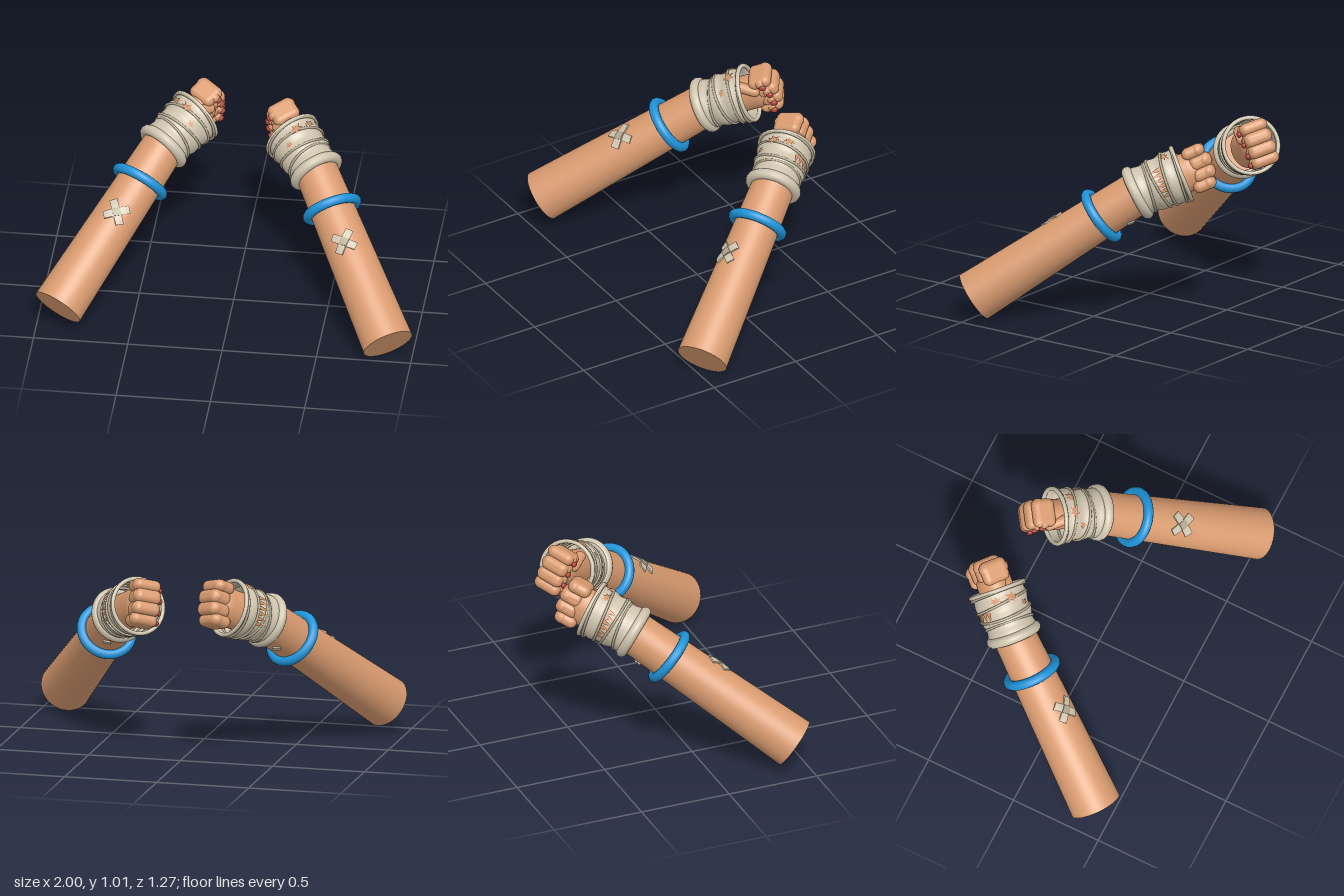
import * as THREE from 'three';
import { RoundedBoxGeometry } from 'three/addons/geometries/RoundedBoxGeometry.js';

const material = (name, color, side = THREE.FrontSide) => {
  const m = new THREE.MeshStandardMaterial({ color, side });
  m.name = name;
  return m;
};

const V = (x, y, z) => new THREE.Vector3(x, y, z);

// Matrix with local y along the limb and local z towards the hint
function frame(origin, yDir, zHint) {
  const y = yDir.clone().normalize();
  const x = y.clone().cross(zHint).normalize();
  const z = x.clone().cross(y);
  return new THREE.Matrix4().makeBasis(x, y, z).setPosition(origin);
}

// Wrap a flat piece (x sideways, y along, z outwards) round the limb at an angle
function bend(geo, radius, angle) {
  const p = geo.attributes.position;
  for (let i = 0; i < p.count; i++) {
    const r = radius(p.getY(i));
    const a = angle + p.getX(i) / r;
    const out = r + p.getZ(i);
    p.setXYZ(i, Math.sin(a) * out, p.getY(i), Math.cos(a) * out);
  }
  geo.computeVertexNormals();
  return geo;
}

const ring = (radius, tube, y, tiltX = 0, tiltZ = 0) =>
  new THREE.TorusGeometry(radius, tube, 12, 48)
    .rotateX(Math.PI / 2).rotateX(tiltX).rotateZ(tiltZ).translate(0, y, 0);

function mirrored(source) {
  const geo = source.clone().scale(-1, 1, 1);
  const n = geo.attributes.position.count;
  const index = geo.index ? Array.from(geo.index.array) : Array.from({ length: n }, (_, i) => i);
  for (let i = 0; i < index.length; i += 3) [index[i], index[i + 1]] = [index[i + 1], index[i]];
  geo.setIndex(index);
  return geo;
}

export function createModel() {
  const skin = material('skin', 0xd99b70);
  const tearSkin = material('torn skin', 0xd09066, THREE.DoubleSide);
  const cloth = material('bandage cloth', 0xcfc4ae, THREE.DoubleSide);
  const trim = material('bandage edge', 0xb0a58d);
  const blue = material('bracelet blue', 0x1f93d8);
  const red = material('nail red', 0xb5443a);

  const left = new THREE.Group();
  left.name = 'leftArm';
  let place;
  const add = (name, geo, mat) => {
    const mesh = new THREE.Mesh(geo.applyMatrix4(place), mat);
    mesh.name = name;
    left.add(mesh);
  };

  // Forearm, tapering to the wrist
  const base = V(0.88, 0.115, 0.502);
  const armDir = V(-0.45, 0.56, -0.69).normalize();
  place = frame(base, armDir, V(-0.1, 0.74, 0.66));
  const armR = (t) => 0.137 - 0.022 * t;
  add('forearm', new THREE.CylinderGeometry(armR(1.06), armR(0), 1.06, 48).translate(0, 0.53, 0), skin);
  add('bracelet', ring(0.136, 0.026, 0.81, 0.03, -0.04), blue);

  // Crossed plaster on the forearm
  for (const s of [-1, 1]) {
    const strip = new THREE.BoxGeometry(0.14, 0.042, 0.009, 10, 2, 1)
      .rotateZ(s * Math.PI / 4).translate(0, 0.575, 0.004 + s * 0.001);
    add('plasterStrip', bend(strip, armR, 0), cloth);
  }
  add('plasterPad', bend(new THREE.BoxGeometry(0.042, 0.042, 0.009, 4, 2, 1)
    .rotateZ(Math.PI / 4).translate(0, 0.575, 0.009), armR, 0), trim);
  add('looseTag', bend(new THREE.BoxGeometry(0.04, 0.022, 0.009, 4, 1, 1)
    .rotateZ(0.4).translate(0, 0.93, 0.004), armR, Math.PI), cloth);

  // Hand frame: x towards the palm side, y to the knuckles, z down
  place = frame(base.clone().addScaledVector(armDir, 1.04), V(-0.6, 0.39, -0.69), V(-0.04, -0.87, -0.46));
  const wrapR = (y) => 0.127 + 0.07 * y + 0.004 * Math.sin(y * 75);
  const profile = [new THREE.Vector2(0.105, -0.02)];
  for (let i = 0; i <= 24; i++) profile.push(new THREE.Vector2(wrapR(i * 0.0105), i * 0.0105));
  add('bandageWrap', new THREE.LatheGeometry(profile, 48), cloth);
  add('bandageCuff', ring(0.122, 0.029, 0.0, -0.06, 0.05), cloth);
  const bands = [[0.065, 0.12, -0.06], [0.12, -0.1, 0.08], [0.18, 0.08, 0.1]];
  for (const [y, tx, tz] of bands) add('bandageFold', ring(wrapR(y) + 0.001, 0.007, y, tx, tz), trim);
  add('bandageRim', ring(0.147, 0.011, 0.252, 0.03, -0.03), cloth);
  add('bandageRimEdge', ring(0.15, 0.007, 0.236, 0.1, -0.03), trim);

  // Torn openings: a row of teeth on the outer side and a ragged patch on top
  const flat = (points) => new THREE.ShapeGeometry(new THREE.Shape(points.map(([x, y]) => new THREE.Vector2(x, y))));
  for (let i = 0; i < 6; i++) {
    const x = (i - 2.5) * 0.028;
    const tip = 0.1 - 0.012 * (i % 2);
    const tooth = flat([[x - 0.013, 0.16], [x, tip], [x + 0.013, 0.16]]).translate(0, 0, 0.006);
    add('tornTooth', bend(tooth, wrapR, -Math.PI / 2), tearSkin);
  }
  for (const [angle, y, size] of [[Math.PI, 0.2, 1], [Math.PI + 0.6, 0.205, 0.8], [Math.PI - 0.55, 0.15, 0.6]]) {
    const points = [];
    for (let i = 0; i < 14; i++) {
      const r = size * (i % 2 ? 0.018 : 0.034 + 0.006 * (i % 3));
      const a = i / 14 * Math.PI * 2;
      points.push([Math.cos(a) * r * 1.1, y + Math.sin(a) * r * 0.75]);
    }
    add('tornPatch', bend(flat(points).translate(0, 0, 0.006), wrapR, angle), tearSkin);
  }

  // Fist: palm, four curled fingers, thumb and nails
  add('palm', new THREE.CapsuleGeometry(0.09, 0.2, 8, 32).scale(0.9, 1, 1.15).translate(-0.01, 0.19, 0.005), skin);
  const fingers = [[-0.082, 0.355, 0.058], [-0.02, 0.37, 0.068], [0.043, 0.365, 0.066], [0.1, 0.345, 0.058]];
  fingers.forEach(([z, y, width], i) => {
    add('finger', new RoundedBoxGeometry(0.15, 0.125, width + 0.008, 5, 0.032).translate(-0.014, y, z), skin);
    add('knuckle', new THREE.SphereGeometry(0.036, 20, 14).scale(1, 1, 0.95).translate(-0.058, y + 0.025, z), skin);
    add('fingertip', new THREE.SphereGeometry(0.03, 20, 14).translate(0.04, y + 0.005, z), skin);
    add('nail', new THREE.SphereGeometry(0.017, 16, 12).scale(0.7, 1.1, 0.95)
      .translate(0.068, y + 0.012, z + (i === 3 ? 0.005 : 0.012)), red);
  });
  const thumbPath = new THREE.LineCurve3(V(0.03, 0.23, -0.095), V(0.05, 0.31, -0.045));
  add('thumb', new THREE.TubeGeometry(thumbPath, 4, 0.028, 16), skin);
  add('thumbTip', new THREE.SphereGeometry(0.028, 20, 14).translate(0.05, 0.31, -0.045), skin);

  // Right arm: mirror image, held slightly higher and further back
  const right = new THREE.Group();
  right.name = 'rightArm';
  for (const part of left.children) {
    const mesh = new THREE.Mesh(mirrored(part.geometry), part.material);
    mesh.name = part.name;
    right.add(mesh);
  }
  right.position.set(0, 0.04, -0.078);

  const model = new THREE.Group();
  model.name = 'bandagedArms';
  model.add(left, right);
  return model;
}
